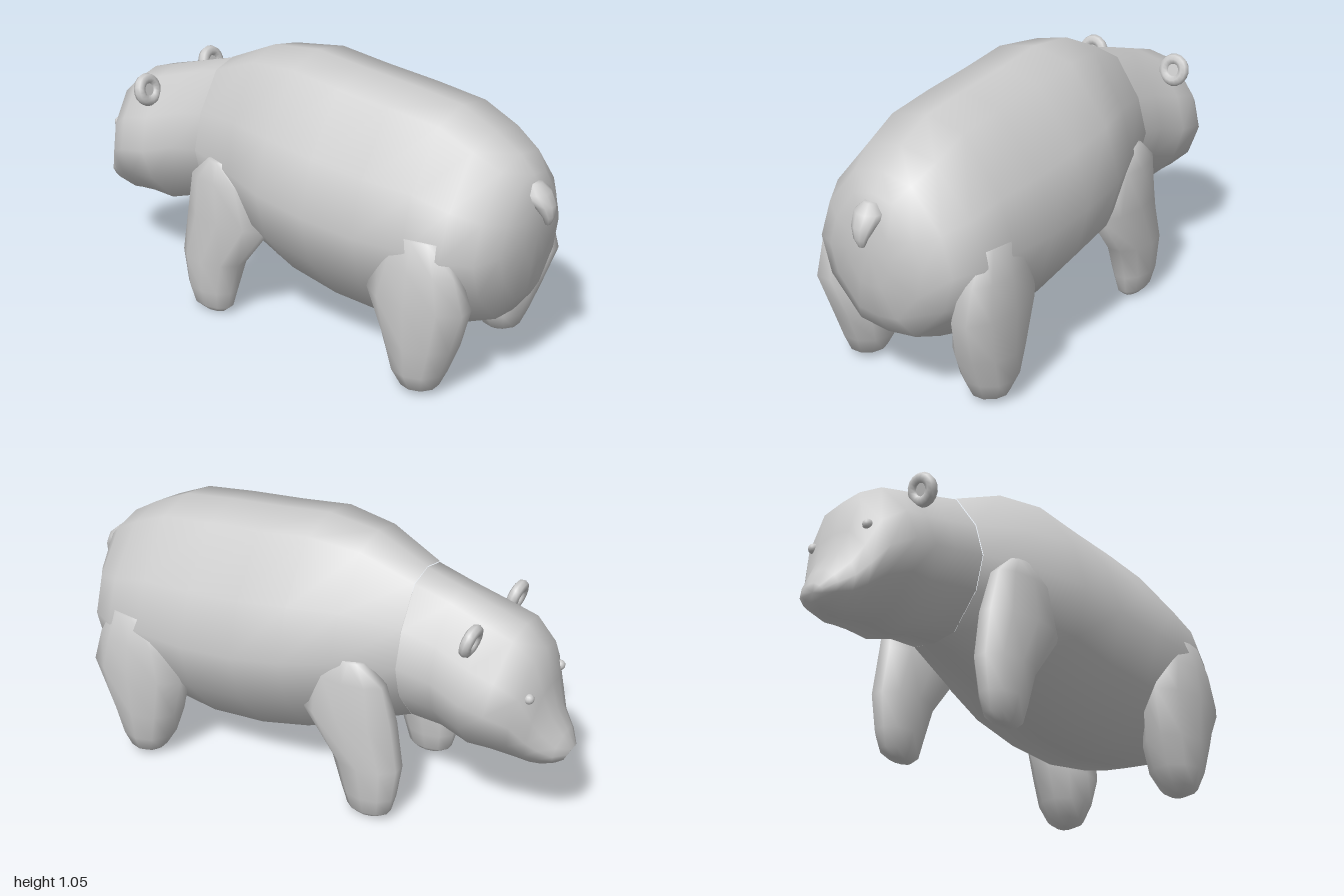
import * as THREE from 'three';

const material = new THREE.MeshStandardMaterial({ color: 0xcccccc });

// Skin a list of closed rings; optional rounded caps share the ring vertices
function loft(rings, capStart = true, capEnd = true) {
  const n = rings[0].length, pos = [], index = [];
  rings.forEach(r => r.forEach(p => pos.push(...p)));
  for (let i = 0; i < rings.length - 1; i++) {
    for (let j = 0; j < n; j++) {
      const a = i * n + j, b = i * n + (j + 1) % n;
      index.push(a, b, a + n, b, b + n, a + n);
    }
  }
  const cap = (i, flip) => {
    const c = pos.length / 3;
    pos.push(...[0, 1, 2].map(k => rings[i].reduce((s, p) => s + p[k], 0) / n));
    for (let j = 0; j < n; j++) {
      const a = i * n + j, b = i * n + (j + 1) % n;
      index.push(...(flip ? [b, a, c] : [a, b, c]));
    }
  };
  if (capStart) cap(0, true);
  if (capEnd) cap(rings.length - 1, false);
  const g = new THREE.BufferGeometry();
  g.setAttribute('position', new THREE.Float32BufferAttribute(pos, 3));
  g.setIndex(index);
  g.computeVertexNormals();
  return g;
}

// Right half of the torso section, from the spine to the belly
const half = [[0, 1], [0.42, 0.92], [0.84, 0.42], [1, -0.05], [0.86, -0.5], [0.42, -0.95], [0, -1]];
const section = [...half, ...half.slice(1, -1).reverse().map(([x, y]) => [-x, y])];

// Upright ring between a top point and a bottom point, with a half width
const uprightRing = ([zTop, yTop, zBot, yBot, w]) => section.map(([x, y]) => {
  const t = (1 - y) / 2;
  return [x * w, yTop + (yBot - yTop) * t, zTop + (zBot - zTop) * t];
});

// Level oval ring given its extents: y, x range, z range
const levelRing = ([y, x0, x1, z0, z1], side = 1, n = 10) =>
  Array.from({ length: n }, (_, i) => {
    const t = i / n * Math.PI * 2 * side;
    return [side * ((x0 + x1) / 2 + (x1 - x0) / 2 * Math.cos(t)), y,
      (z0 + z1) / 2 + (z1 - z0) / 2 * Math.sin(t)];
  });

const bodyRings = [
  [0.945, 0.73, 0.945, 0.47, 0.1],
  [0.915, 0.80, 0.91, 0.34, 0.2],
  [0.86, 0.86, 0.86, 0.26, 0.29],
  [0.76, 0.92, 0.76, 0.225, 0.35],
  [0.62, 0.985, 0.62, 0.185, 0.37],
  [0.42, 1.01, 0.42, 0.152, 0.38],
  [0.2, 1.03, 0.2, 0.165, 0.38],
  [0, 1.053, 0, 0.21, 0.378],
  [-0.2, 1.028, -0.16, 0.265, 0.315],
  [-0.4, 0.935, -0.4, 0.36, 0.235],
];
const headRings = [
  [-0.4, 0.932, -0.4, 0.36, 0.232],
  [-0.54, 0.89, -0.52, 0.35, 0.225],
  [-0.68, 0.845, -0.63, 0.315, 0.25],
  [-0.79, 0.81, -0.72, 0.322, 0.258],
  [-0.87, 0.735, -0.8, 0.308, 0.215],
  [-0.9, 0.6, -0.86, 0.293, 0.17],
  [-0.925, 0.51, -0.9, 0.29, 0.13],
  [-0.97, 0.43, -0.945, 0.303, 0.095],
  [-1, 0.37, -0.972, 0.318, 0.05],
];
const hindLegRings = [
  [0.61, 0.26, 0.36, 0.545, 0.76],
  [0.5, 0.23, 0.385, 0.49, 0.82],
  [0.37, 0.2, 0.402, 0.445, 0.86],
  [0.2, 0.162, 0.392, 0.5, 0.8],
  [0.09, 0.175, 0.38, 0.54, 0.755],
  [0.025, 0.21, 0.35, 0.58, 0.725],
  [0, 0.25, 0.31, 0.615, 0.675],
];
const frontLegRings = [
  [0.645, 0.24, 0.3, -0.3, -0.19],
  [0.57, 0.2, 0.33, -0.38, -0.09],
  [0.41, 0.16, 0.337, -0.415, -0.03],
  [0.23, 0.165, 0.337, -0.44, -0.165],
  [0.1, 0.182, 0.325, -0.42, -0.205],
  [0.03, 0.2, 0.305, -0.4, -0.225],
  [0.005, 0.225, 0.28, -0.36, -0.255],
];
const tailRings = [
  [0.775, -0.025, 0.025, 0.9, 0.945],
  [0.745, -0.06, 0.06, 0.86, 0.98],
  [0.7, -0.046, 0.046, 0.925, 1],
  [0.66, -0.028, 0.028, 0.96, 1],
  [0.63, -0.012, 0.012, 0.968, 0.988],
];

export function createModel() {
  const model = new THREE.Group();
  model.name = 'bear';
  const add = (name, geometry, parent = model) => {
    const mesh = new THREE.Mesh(geometry, material);
    mesh.name = name;
    parent.add(mesh);
    return mesh;
  };

  add('body', loft(bodyRings.map(uprightRing), true, false));
  add('head', loft(headRings.map(uprightRing), false, true));
  add('tail', loft(tailRings.map(r => levelRing(r))));

  for (const side of [1, -1]) {
    // The animal looks towards -z, so its names follow the +x = left rule
    const label = side > 0 ? 'left' : 'right';
    add(label + 'HindLeg', loft(hindLegRings.map(r => levelRing(r, side))));
    add(label + 'FrontLeg', loft(frontLegRings.map(r => levelRing(r, side))));
    add(label + 'Eye', new THREE.SphereGeometry(0.019, 12, 8)).position.set(side * 0.135, 0.6, -0.872);

    // Ear: thick rim around a thin inner plate, leaning forward
    const ear = new THREE.Group();
    ear.name = label + 'Ear';
    add('earRim', new THREE.TorusGeometry(0.042, 0.022, 8, 16), ear);
    add('earPlate', new THREE.CylinderGeometry(0.045, 0.045, 0.018, 16).rotateX(Math.PI / 2), ear);
    ear.position.set(side * 0.19, 0.8, -0.667);
    ear.rotation.x = -0.28;
    model.add(ear);
  }
  return model;
}
